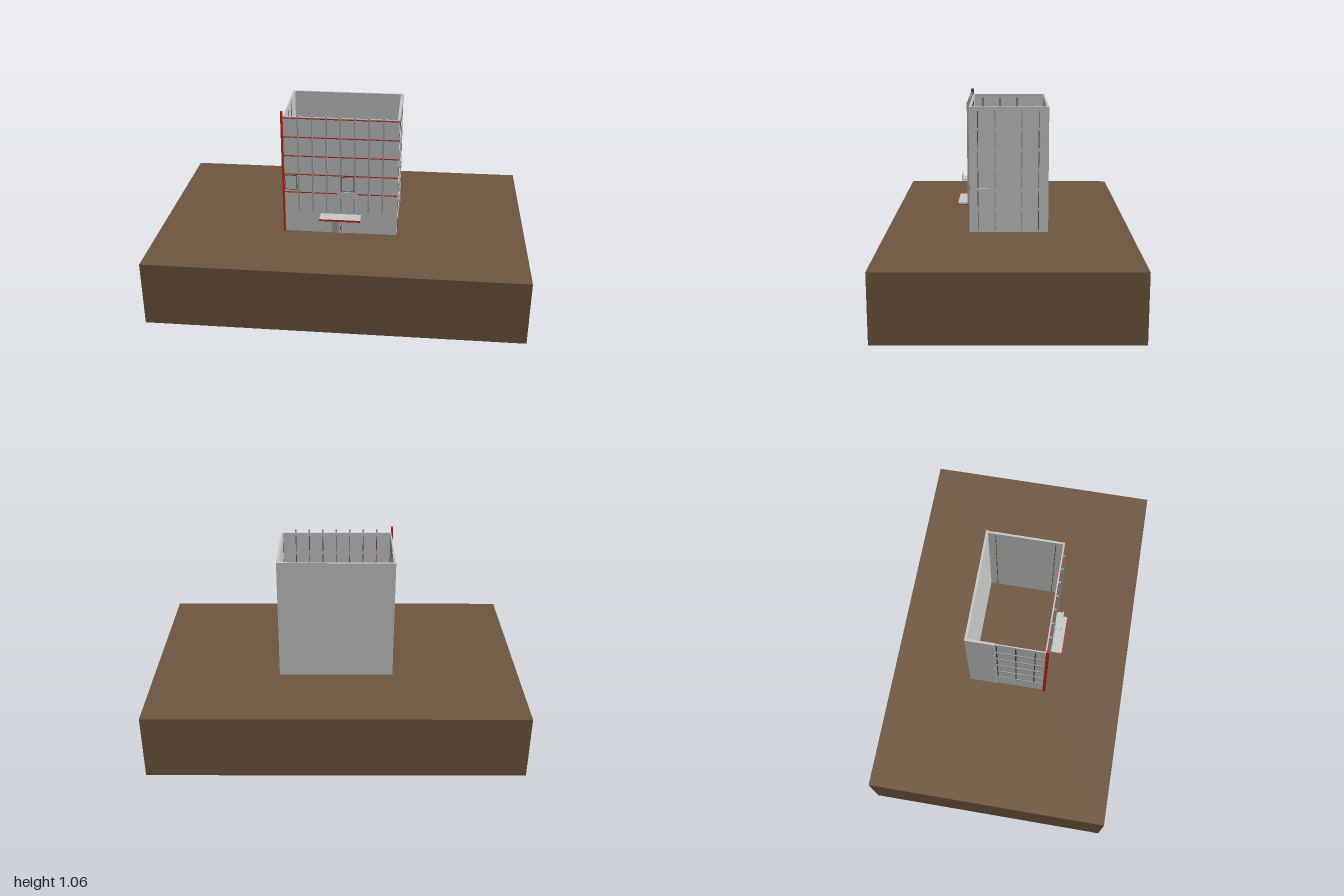
import * as THREE from 'three';

const mat = (name, color) => {
  const m = new THREE.MeshStandardMaterial({ color });
  m.name = name;
  return m;
};

export function createModel() {
  const root = new THREE.Group();
  const earth = mat('earth brown', 0x705740);
  const wall = mat('wall grey', 0xc8cac8);
  const trim = mat('trim grey', 0xa4a7a5);
  const dark = mat('dark grey', 0x4a4a48);
  const red = mat('accent red', 0xc8281c);

  // Box given by its min and max along each axis
  const box = (name, m, x0, x1, y0, y1, z0, z1, parent = root) => {
    const mesh = new THREE.Mesh(new THREE.BoxGeometry(x1 - x0, y1 - y0, z1 - z0), m);
    mesh.position.set((x0 + x1) / 2, (y0 + y1) / 2, (z0 + z1) / 2);
    mesh.name = name;
    parent.add(mesh);
    return mesh;
  };
  const group = (name) => {
    const g = new THREE.Group();
    g.name = name;
    root.add(g);
    return g;
  };

  const G = 0.355, TOP = 1.025;
  const floors = [G, 0.48, 0.587, 0.693, 0.8, 0.907, 1.013];

  // Ground block
  box('ground', earth, -1, 1, 0, G, -0.65, 0.65);

  // Roofless shell of four walls
  const shell = group('walls');
  box('backWall', wall, -0.31, 0.31, G, TOP, -0.212, -0.2, shell);
  box('rightWall', wall, 0.296, 0.306, G, TOP, -0.2, 0.205, shell);
  box('leftWallSolid', wall, -0.31, -0.298, G, TOP, -0.2, -0.06, shell);
  box('leftWallGlazed', wall, -0.306, -0.3, G, TOP, -0.06, 0.205, shell);
  box('frontWall', wall, -0.306, 0.306, G, TOP, 0.198, 0.206, shell);

  // Per-floor joints, ledges and window bars
  const joints = group('windowJoints');
  const ledges = group('floorLedges');
  for (let i = 0; i < 6; i++) {
    const y0 = floors[i] + 0.009, y1 = floors[i + 1] - 0.009;
    for (const z of [-0.16, 0.16]) {
      box('sideJoint', earth, 0.2945, 0.3075, y0, y1, z - 0.002, z + 0.002, joints);
    }
    for (const z of [-0.07, 0.07]) {
      box('sideBar', trim, 0.306, 0.309, y0, y1, z - 0.003, z + 0.003, joints);
    }
    if (i > 0) {
      for (let k = -3; k <= 3; k++) {
        box('frontJoint', earth, k * 0.075 - 0.002, k * 0.075 + 0.002, y0, y1, 0.1965, 0.2075, joints);
      }
      for (const z of [-0.05, 0.05, 0.15]) {
        box('leftJoint', dark, -0.3075, -0.2985, y0, y1, z - 0.003, z + 0.003, joints);
      }
      box('leftLedge', trim, -0.31, -0.306, floors[i] - 0.005, floors[i] + 0.005, -0.06, 0.2, ledges);
    }
    const y = floors[i + 1];
    box('rightLedge', wall, 0.306, 0.31, y - 0.007, y + 0.007, -0.16, 0.16, ledges);
    if (i > 0) box('frontLedge', red, -0.304, 0.304, y + 0.003, y + 0.008, 0.206, 0.209, ledges);
  }

  // Upright fins on the facade
  const fins = group('facadeFins');
  for (let k = -3; k <= 3; k++) {
    const x = k * 0.075;
    box('fin', trim, x - 0.004, x + 0.004, 0.49, 1.04, 0.206, 0.219, fins);
  }
  box('cornerPole', red, -0.315, -0.304, G, 1.056, 0.203, 0.22);

  // Framed windows: a thin frame with a lighter pane
  const framed = (name, x0, x1, y0, y1) => {
    const g = group(name);
    box('frame', dark, x0, x1, y0, y1, 0.206, 0.2085, g);
    box('pane', wall, x0 + 0.003, x1 - 0.003, y0 + 0.003, y1 - 0.003, 0.2085, 0.2095, g);
  };
  framed('cornerWindow', -0.303, -0.236, 0.608, 0.692);
  framed('balconyDoor', 0.004, 0.072, 0.608, 0.692);

  // Balcony with floor, front and side rails
  const balcony = group('balcony');
  box('balconyFloor', wall, -0.015, 0.085, 0.59, 0.596, 0.206, 0.256, balcony);
  box('balconyFront', wall, -0.015, 0.085, 0.596, 0.624, 0.253, 0.256, balcony);

  // Entrance canopy with a red front edge
  const canopy = group('canopy');
  box('canopySlab', wall, -0.11, 0.11, 0.462, 0.47, 0.206, 0.277, canopy);
  box('canopyEdge', red, -0.11, 0.11, 0.46, 0.47, 0.277, 0.28, canopy);
  box('canopyUnderside', red, -0.11, 0.11, 0.46, 0.462, 0.206, 0.277, canopy);

  // Entrance door, frame and handles
  const door = group('entrance');
  box('lintel', trim, -0.047, 0.037, 0.43, 0.437, 0.206, 0.219, door);
  for (const x of [-0.047, -0.013, 0.003]) {
    box('jamb', trim, x, x + 0.005, G, 0.43, 0.206, 0.219, door);
  }
  box('sidePanel', trim, -0.042, -0.013, G, 0.43, 0.206, 0.21, door);
  box('doorLeaf', wall, 0.008, 0.037, G, 0.43, 0.206, 0.209, door);
  box('handle', red, -0.004, 0.003, 0.377, 0.395, 0.207, 0.214, door);

  return root;
}
